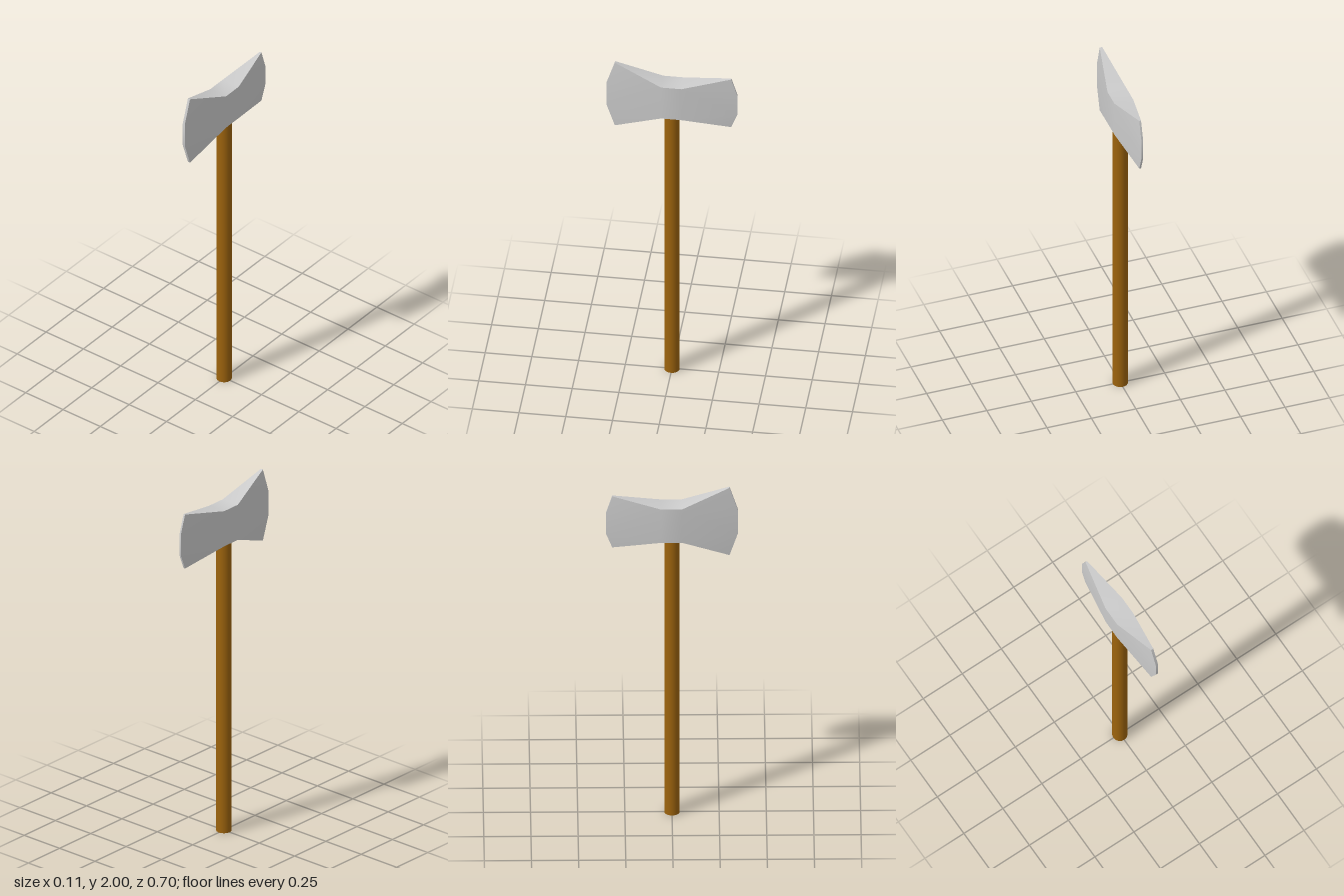
import * as THREE from 'three';
import { toCreasedNormals } from 'three/addons/utils/BufferGeometryUtils.js';

// Head outline, counter-clockwise seen from +x: [z, y, half thickness]
const OUTLINE = [
  [0.052, 1.895, 0.053], [0.305, 2.0, 0.007], [0.35, 1.86, 0.007],
  [0.35, 1.72, 0.007], [0.305, 1.585, 0.007], [0.052, 1.69, 0.053],
  [-0.057, 1.69, 0.053], [-0.317, 1.635, 0.005], [-0.35, 1.72, 0.005],
  [-0.35, 1.845, 0.005], [-0.317, 1.95, 0.005], [-0.057, 1.895, 0.053],
];

// Cheek triangles: front blade, middle block, back blade
const CHEEK = [
  [0, 1, 2], [0, 2, 3], [0, 3, 5], [3, 4, 5],
  [0, 5, 6], [0, 6, 11],
  [11, 6, 8], [11, 8, 9], [6, 7, 8], [11, 9, 10],
];

function headGeometry() {
  const n = OUTLINE.length;
  const positions = [];
  for (const side of [1, -1]) {
    for (const [z, y, w] of OUTLINE) positions.push(side * w, y, z);
  }
  const index = [];
  // Both cheeks, the second with mirrored winding
  for (const [a, b, c] of CHEEK) index.push(a, b, c, c + n, b + n, a + n);
  // Rim joining the two cheeks
  for (let i = 0; i < n; i++) {
    const j = (i + 1) % n;
    index.push(j, i, i + n, j, i + n, j + n);
  }
  const geometry = new THREE.BufferGeometry();
  geometry.setAttribute('position', new THREE.Float32BufferAttribute(positions, 3));
  geometry.setIndex(index);
  return toCreasedNormals(geometry, 0.6);
}

export function createModel() {
  const group = new THREE.Group();
  group.name = 'doubleAxe';

  // Round wooden shaft, ending inside the head
  const shaftHeight = 1.8;
  const shaft = new THREE.Mesh(
    new THREE.CylinderGeometry(0.041, 0.041, shaftHeight, 32),
    new THREE.MeshStandardMaterial({ color: 0x9c630d })
  );
  shaft.name = 'shaft';
  shaft.position.y = shaftHeight / 2;
  group.add(shaft);

  // Double-bladed head with a larger front blade
  const head = new THREE.Mesh(
    headGeometry(),
    new THREE.MeshStandardMaterial({ color: 0xcccccc })
  );
  head.name = 'axeHead';
  group.add(head);

  return group;
}
